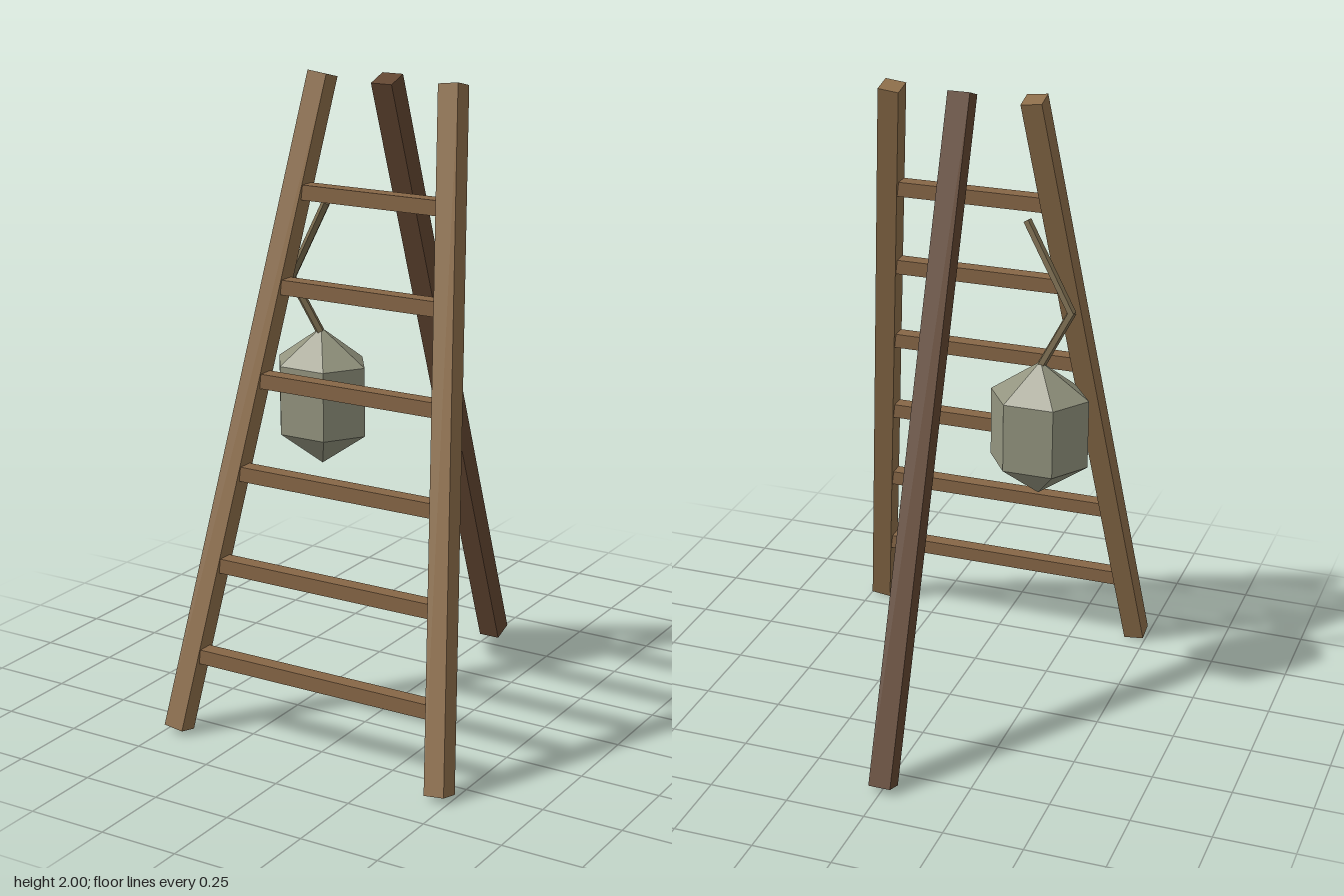
import * as THREE from 'three';

const V = (x, y, z) => new THREE.Vector3(x, y, z);
const UP = V(0, 1, 0);

export function createModel() {
  const group = new THREE.Group();
  const mat = (name, color) => {
    const m = new THREE.MeshStandardMaterial({ color, flatShading: true });
    m.name = name;
    return m;
  };
  const railWood = mat('railWood', 0x8d6e4a);
  const rungWood = mat('rungWood', 0x866646);
  const darkWood = mat('darkWood', 0x624631);
  const stone = mat('stone', 0x93947f);
  const rope = mat('rope', 0x7c6d50);

  const add = (name, geometry, material) => {
    const mesh = new THREE.Mesh(geometry, material);
    mesh.name = name;
    group.add(mesh);
    return mesh;
  };
  // Lays a geometry that runs along y between two points
  const span = (mesh, a, b) => {
    mesh.position.copy(a).lerp(b, 0.5);
    mesh.quaternion.setFromUnitVectors(UP, b.clone().sub(a).normalize());
    return mesh;
  };
  const beam = (name, a, b, width, material) =>
    span(add(name, new THREE.BoxGeometry(width, a.distanceTo(b), width), material), a, b);

  // Two ladder rails, leaning in and back
  const foot = V(0.462, 0.012, 0.593);
  const head = V(0.223, 1.988, 0.108);
  for (const side of [1, -1]) {
    beam(side > 0 ? 'leftRail' : 'rightRail',
      V(side * foot.x, foot.y, foot.z), V(side * head.x, head.y, head.z), 0.066, railWood);
  }

  // Rungs, each ending inside the rails
  for (let i = 0; i < 6; i++) {
    const y = 0.245 + i * 0.28;
    const p = foot.clone().lerp(head, (y - foot.y) / (head.y - foot.y));
    add('rung' + (i + 1), new THREE.BoxGeometry(2 * p.x - 0.02, 0.046, 0.048), rungWood)
      .position.set(0, y, p.z);
  }

  // Single rear prop
  beam('backLeg', V(0, 0.012, -0.592), V(0, 1.988, 0.108), 0.07, darkWood);

  // Faceted hanging weight, flattened front to back
  const profile = [[0, -0.22], [0.157, -0.11], [0.157, 0.11], [0, 0.22]]
    .map(([x, y]) => new THREE.Vector2(x, y));
  const weight = add('hangingWeight', new THREE.LatheGeometry(profile, 6, Math.PI / 2), stone);
  weight.scale.z = 0.845;
  weight.position.set(-0.272, 0.97, 0.055);

  // Bent cord above the weight
  const cord = [V(-0.275, 1.18, 0.058), V(-0.357, 1.345, 0.088), V(-0.2, 1.603, 0.132)];
  for (let i = 0; i < 2; i++) {
    const length = cord[i].distanceTo(cord[i + 1]) + 0.008;
    span(add(i ? 'upperCord' : 'lowerCord',
      new THREE.CylinderGeometry(0.014, 0.014, length, 5), rope), cord[i], cord[i + 1]);
  }

  return group;
}
